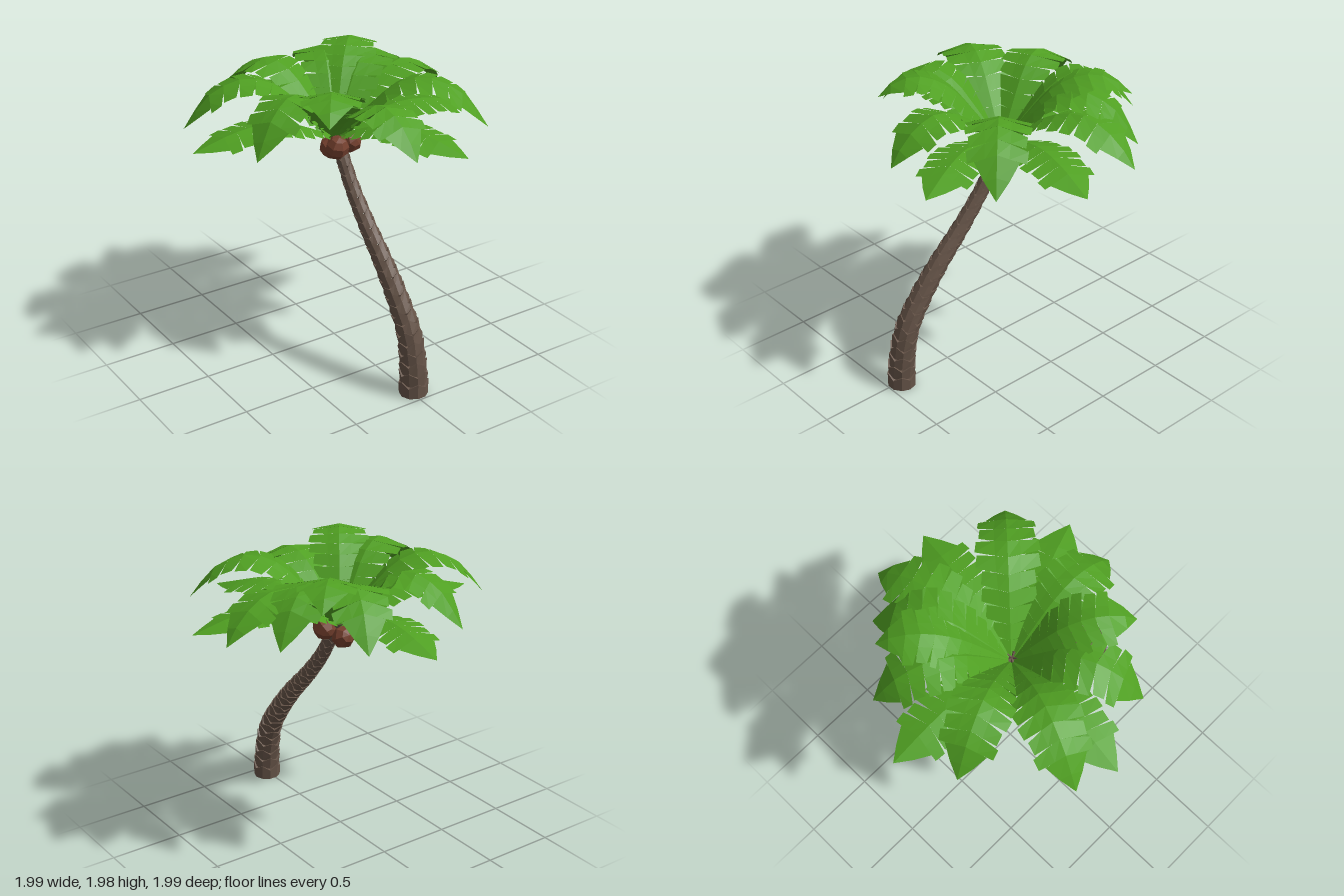
import * as THREE from 'three';

const V = (x, y, z) => new THREE.Vector3(x, y, z);
const material = (color, side = THREE.FrontSide) =>
  new THREE.MeshStandardMaterial({ color, side, flatShading: true });

function meshFromPoints(name, points, mat) {
  const geo = new THREE.BufferGeometry().setFromPoints(points);
  geo.computeVertexNormals();
  const mesh = new THREE.Mesh(geo, mat);
  mesh.name = name;
  return mesh;
}

// Bent trunk: stacked collars, each flaring upwards to a jagged rim
function buildTrunk(mat) {
  const path = new THREE.CatmullRomCurve3([
    V(0.015, 0, 0.905), V(0.015, 0.2, 0.893), V(0.015, 0.42, 0.84), V(0.012, 0.6, 0.725),
    V(0.01, 0.8, 0.56), V(0.01, 1.0, 0.365), V(0.01, 1.2, 0.195), V(0.01, 1.38, 0.08), V(0.005, 1.5, 0.02),
  ]);
  const collars = 30, sides = 10, pts = [];
  const at = (k) => Math.pow(k / collars, 0.9);
  const radius = (t) => 0.044 + 0.052 * Math.pow(1 - t, 1.3);
  const ring = (t, scale, jag, twist) => {
    const c = path.getPointAt(t), T = path.getTangentAt(t);
    const X = V(1, 0, 0), N = T.clone().cross(X).normalize();
    return Array.from({ length: sides }, (_, j) => {
      const a = ((j + twist) / sides) * Math.PI * 2, r = radius(t) * scale;
      const p = c.clone().addScaledVector(X, r * Math.cos(a)).addScaledVector(N, r * Math.sin(a));
      p.addScaledVector(T, j % 2 ? jag : -jag * 0.5);
      p.y = Math.max(0, p.y);
      return p;
    });
  };
  for (let k = 0; k < collars; k++) {
    const t0 = at(k), t1 = at(k + 1), twist = k % 2;
    const low = ring(t0, k ? 0.92 : 0.98, 0, twist);
    const top = ring(t1, 1.05, 0.022, twist);
    const c0 = path.getPointAt(t0), c1 = path.getPointAt(t1);
    for (let j = 0; j < sides; j++) {
      const n = (j + 1) % sides;
      pts.push(low[j], low[n], top[n], low[j], top[n], top[j], c1, top[j], top[n]);
      if (k === 0) pts.push(c0, low[n], low[j]);
    }
  }
  return meshFromPoints('trunk', pts, mat);
}

// Frond along +x: slightly folded leaflets with square ends on both sides of an arched rib
function buildFrond(profile, length, mat) {
  const rib = new THREE.CatmullRomCurve3(profile.map(([r, y]) => V(r * length, y, 0)));
  const count = 9, tipStart = 0.78, pts = [];
  const edge = (s, w, side) => {
    const T = rib.getTangentAt(s);
    return rib.getPointAt(s)
      .add(V(T.y, -T.x, 0).multiplyScalar(w * 0.2))
      .add(V(0, 0, side * w));
  };
  const width = (s) => 0.05 + 0.15 * Math.sin(Math.PI * 0.85 * s);
  const face = (side, ...p) => {
    if (side < 0) p.reverse();
    for (let i = 2; i < p.length; i++) pts.push(p[0], p[i - 1], p[i]);
  };
  for (const side of [-1, 1]) {
    for (let i = 0; i < count; i++) {
      const s0 = (i / count) * tipStart, s1 = ((i + 1) / count) * tipStart;
      const lean = 0.02 + 0.03 * (i / count);
      const wide = width(s1) * (i % 3 === 1 ? 0.92 : 1.03);
      const a = rib.getPointAt(s0), b = rib.getPointAt(s1);
      const o0 = edge(s0 + lean + 0.006, wide, side);
      const o1 = edge(s1 + lean - 0.01, wide * 0.95, side);
      // inner part stays joined, outer part is split by notches
      const m0 = a.clone().lerp(edge(s0 + lean, width(s0), side), 0.4);
      const m1 = b.clone().lerp(edge(s1 + lean, width(s1), side), 0.4);
      face(side, a, m0, m1, b);
      face(side, m0, o0, o1, m1);
    }
    // pointed end leaf, bent along the rib
    const bend = (tipStart + 1) / 2;
    const a = rib.getPointAt(tipStart), b = rib.getPointAt(bend);
    const o = edge(tipStart + 0.03, 0.135, side), m = edge(bend + 0.015, 0.075, side);
    face(side, a, o, m, b);
    face(side, b, m, rib.getPointAt(1));
  }
  return meshFromPoints('frond', pts, mat);
}

export function createModel() {
  const model = new THREE.Group();
  model.name = 'palmTree';
  const bark = material(0x675549);
  const shell = material(0x75402e);
  const leaf = material(0x50a022, THREE.DoubleSide);

  model.add(buildTrunk(bark));

  // Coconuts hanging under the crown
  for (const [x, y, z, turn] of [[-0.045, 1.455, 0.105, 0.3], [0.085, 1.455, 0.06, 1.1], [0.0, 1.4, -0.03, 2]]) {
    const nut = new THREE.Mesh(new THREE.SphereGeometry(0.08, 7, 5), shell);
    nut.position.set(x, y, z);
    nut.rotation.set(turn, turn * 2, 0);
    nut.name = 'coconut';
    model.add(nut);
  }

  // Crown layers: rib profile as [reach, height], fronds as [angle in degrees, length]
  const layers = [
    ['lowFronds', [[0.02, 1.5], [0.2, 1.59], [0.45, 1.665], [0.7, 1.655], [1, 1.57]],
      [[89, 1.01], [175, 1.0], [292, 0.99], [349, 1.01]]],
    ['middleFronds', [[0.02, 1.5], [0.2, 1.67], [0.42, 1.82], [0.62, 1.87], [0.82, 1.8], [0.92, 1.72], [1, 1.62]],
      [[12, 1.01], [270, 0.89]]],
    ['highFronds', [[0.02, 1.5], [0.2, 1.7], [0.4, 1.88], [0.6, 1.93], [0.82, 1.84], [0.92, 1.73], [1, 1.62]],
      [[31, 0.9], [65, 0.91], [113, 0.89], [158, 0.98], [204, 0.87], [317, 0.99]]],
    ['steepFronds', [[0.02, 1.5], [0.2, 1.7], [0.42, 1.9], [0.65, 1.98], [0.85, 1.95], [1, 1.85]],
      [[47, 0.83], [234, 0.78]]],
  ];
  for (const [name, profile, list] of layers) {
    const group = new THREE.Group();
    group.name = name;
    for (const [angle, length] of list) {
      const frond = buildFrond(profile, length, leaf);
      frond.rotation.y = THREE.MathUtils.degToRad(angle);
      frond.position.z = 0.01;
      group.add(frond);
    }
    model.add(group);
  }
  return model;
}
